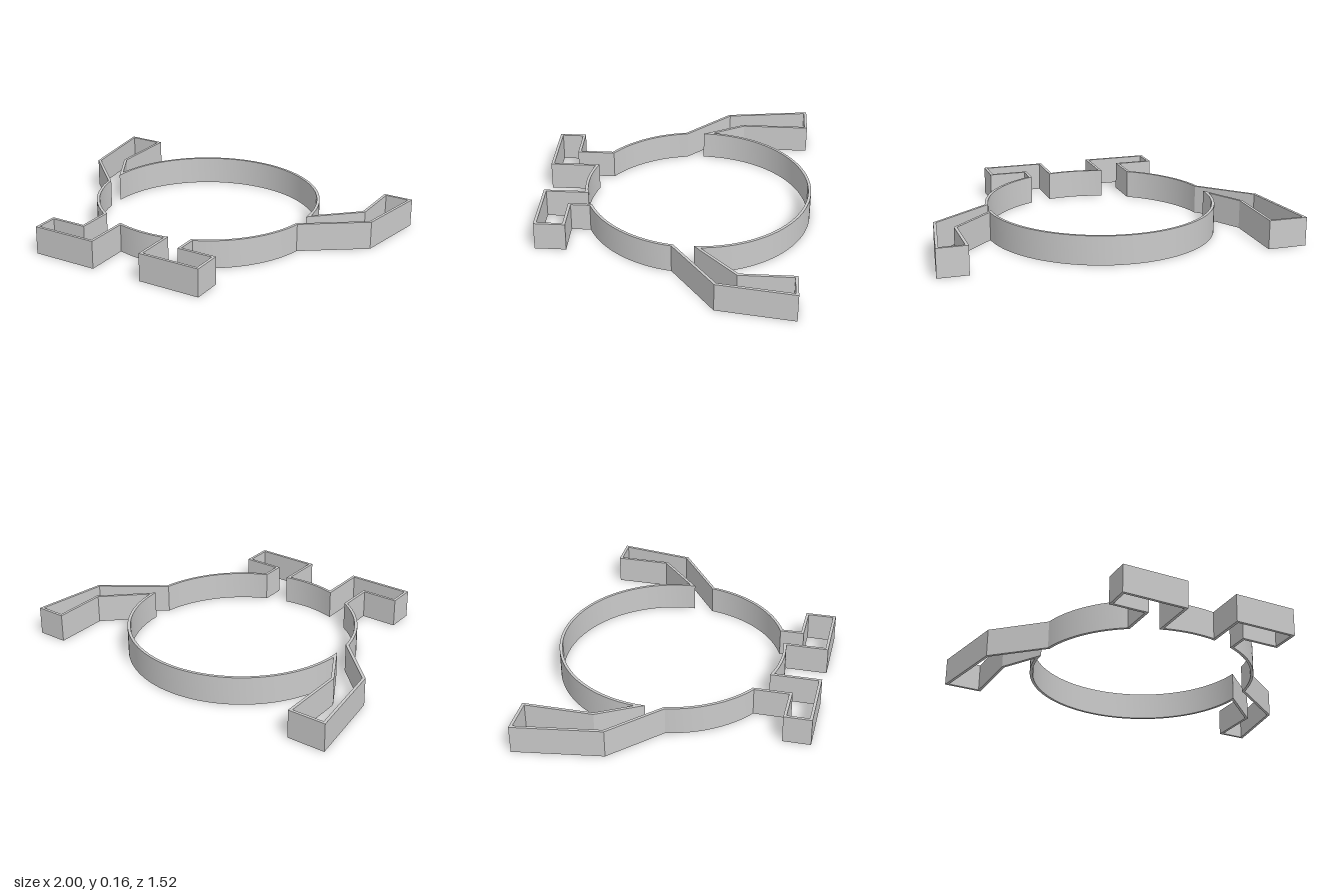
import * as THREE from 'three';
import { toCreasedNormals } from 'three/addons/utils/BufferGeometryUtils.js';

const HEIGHT = 0.16, WALL = 0.016;
const CENTER = [-0.034, -0.117], RADIUS = 0.636;

// Points [x, z] on the round body, running between the bearings of two points
function bodyArc(from, to, steps) {
  const bearing = ([x, z]) => Math.atan2(z - CENTER[1], x - CENTER[0]);
  const a = bearing(from);
  let b = bearing(to);
  if (b < a) b += Math.PI * 2;
  return Array.from({ length: steps + 1 }, (_, i) => {
    const t = a + (b - a) * i / steps;
    return [CENTER[0] + RADIUS * Math.cos(t), CENTER[1] + RADIUS * Math.sin(t)];
  });
}

// Closed line moved sideways by d, with mitred corners
function offset(points, d) {
  const n = points.length;
  return points.map((p, i) => {
    const cur = new THREE.Vector2(...p);
    const u = cur.clone().sub(new THREE.Vector2(...points[(i + n - 1) % n])).normalize();
    const v = new THREE.Vector2(...points[(i + 1) % n]).sub(cur).normalize();
    const miter = new THREE.Vector2(-u.y - v.y, u.x + v.x);
    return cur.addScaledVector(miter, d / (1 + u.dot(v)));
  });
}

export function createModel() {
  const group = new THREE.Group();
  group.name = 'cookieCutter';
  const grey = new THREE.MeshStandardMaterial({ color: 0xcacaca });
  grey.name = 'grey';

  // Middle line of the wall, seen from above
  const outline = [
    // top of the round body
    ...bodyArc([-0.67, -0.146], [0.6, -0.146], 72),
    // left arm
    [0.838, -0.366], [0.838, -0.666], [0.991, -0.666], [0.928, -0.254],
    // left side of the body
    ...bodyArc([0.593, -0.014], [0.217, 0.467], 22),
    // left foot
    [0.217, 0.589], [0.427, 0.589], [0.427, 0.748], [0.08, 0.748],
    // bottom of the body
    ...bodyArc([0.08, 0.508], [-0.231, 0.487], 10),
    // right foot
    [-0.231, 0.753], [-0.593, 0.753], [-0.593, 0.615], [-0.388, 0.615],
    // right side of the body
    ...bodyArc([-0.388, 0.411], [-0.66, -0.014], 18),
    // right arm
    [-0.921, -0.27], [-0.99, -0.748], [-0.79, -0.748], [-0.79, -0.363],
  ].map(([x, z]) => [x, -z]).reverse();

  // Thin upright wall
  const shape = new THREE.Shape(offset(outline, -WALL / 2));
  shape.holes.push(new THREE.Path(offset(outline, WALL / 2)));
  const geometry = new THREE.ExtrudeGeometry(shape, { depth: HEIGHT, bevelEnabled: false });
  geometry.rotateX(-Math.PI / 2);
  const wall = new THREE.Mesh(toCreasedNormals(geometry, 0.25), grey);
  wall.name = 'cutterWall';
  group.add(wall);
  return group;
}
